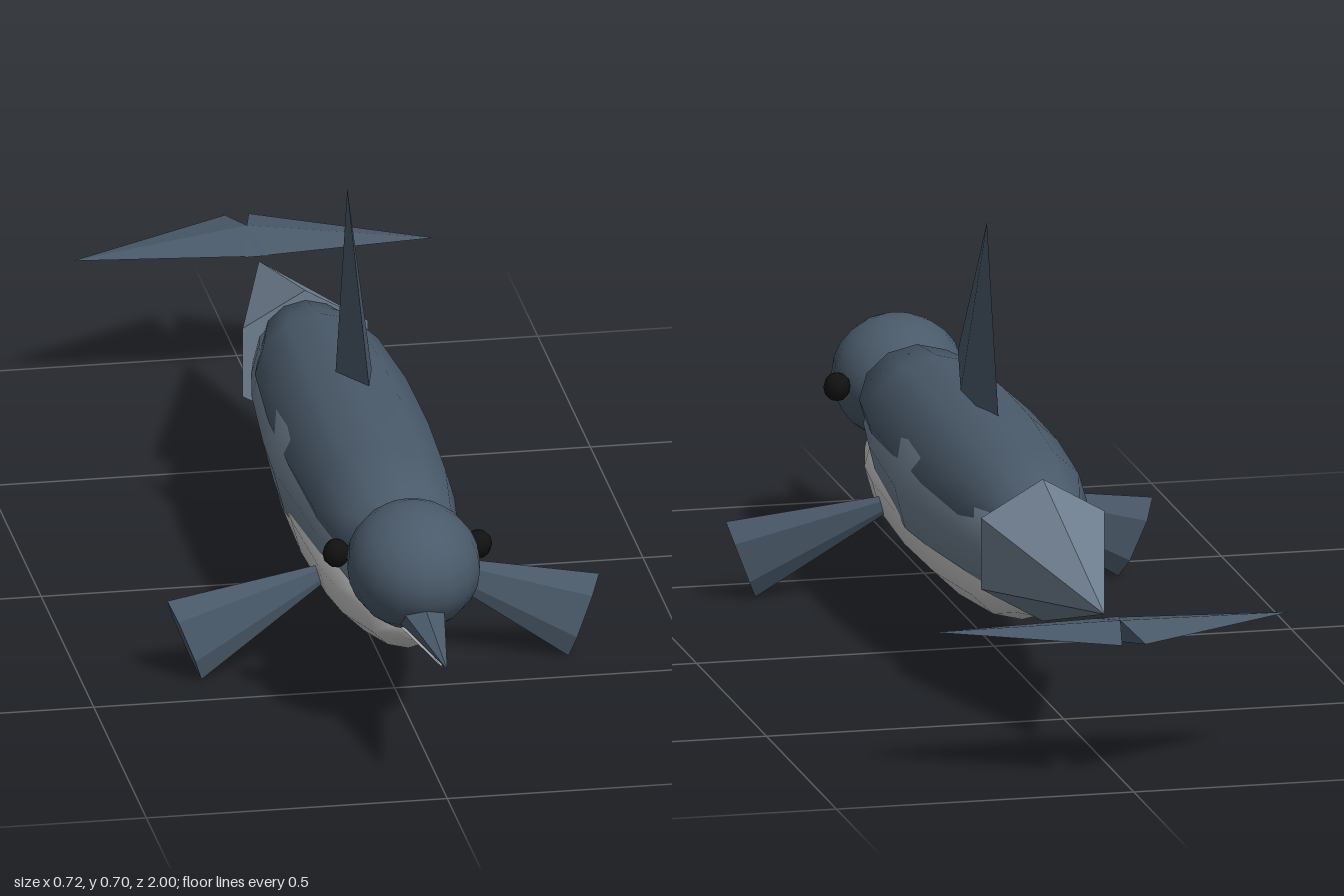
import * as THREE from 'three';

const mat = (color, flatShading = false) => new THREE.MeshStandardMaterial({ color, flatShading });
const DARK = 0x4a5a6a, MID = 0x708090, PALE = 0xf0f0f0, BLACK = 0x111111;

export function createModel() {
  const model = new THREE.Group();

  const add = (name, geometry, material) => {
    const mesh = new THREE.Mesh(geometry, material);
    mesh.name = name;
    model.add(mesh);
    return mesh;
  };

  // Smooth rounded hull along z: profile of [z, relative radius], elliptical section
  const hull = (name, color, y, rx, ry, profile) => {
    const g = new THREE.LatheGeometry(profile.map(([z, r]) => new THREE.Vector2(r, z)), 12);
    g.rotateX(Math.PI / 2).scale(rx, ry, 1).translate(0, y, 0);
    return add(name, g, mat(color));
  };

  // Faceted flattened cone from a base centre to a tip; thinAxis is its flat direction
  const spike = (name, color, base, tip, sides, thin, wide, thinAxis) => {
    const a = new THREE.Vector3(...base), b = new THREE.Vector3(...tip);
    const dir = b.clone().sub(a), height = dir.length();
    dir.normalize();
    const x = new THREE.Vector3(...thinAxis);
    x.addScaledVector(dir, -x.dot(dir)).normalize();
    const z = new THREE.Vector3().crossVectors(x, dir);
    const g = new THREE.ConeGeometry(1, height, sides);
    g.scale(thin, 1, wide);
    g.applyMatrix4(new THREE.Matrix4().makeBasis(x, dir, z));
    g.translate(...a.add(b).multiplyScalar(0.5).toArray());
    return add(name, g, mat(color, true));
  };

  const ball = (name, color, r, pos, segs) => {
    const mesh = add(name, new THREE.SphereGeometry(1, ...segs), mat(color));
    mesh.scale.set(...r);
    mesh.position.set(...pos);
  };

  // Body: flanks, dark back and pale belly overlap
  hull('body', MID, 0.25, 0.137, 0.144,
    [[-0.42, 0], [-0.36, 0.62], [-0.3, 0.72], [-0.2, 0.84], [0, 0.96], [0.13, 1], [0.4, 0.85], [0.55, 0.66], [0.62, 0]]);
  hull('back', DARK, 0.29, 0.125, 0.113,
    [[-0.41, 0], [-0.36, 0.55], [-0.27, 0.74], [-0.2, 0.88], [0, 0.99], [0.2, 1], [0.4, 0.94], [0.55, 0.78], [0.62, 0]]);
  hull('belly', PALE, 0.19, 0.121, 0.115,
    [[-0.39, 0], [-0.36, 0.28], [-0.3, 0.54], [-0.2, 0.8], [0, 0.96], [0.2, 0.99], [0.4, 0.92], [0.5, 0.83], [0.63, 0.57], [0.69, 0.25], [0.7, 0]]);

  // Head and beak
  ball('head', DARK, [0.11, 0.104, 0.13], [0, 0.292, 0.68], [16, 12]);
  spike('upperBeak', DARK, [0, 0.235, 0.74], [0, 0.23, 1], 6, 0.046, 0.028, [1, 0, 0]);
  spike('lowerBeak', PALE, [0, 0.205, 0.72], [0, 0.215, 0.95], 8, 0.035, 0.016, [1, 0, 0]);

  // Tail stock and dorsal fin
  spike('tail', MID, [0, 0.252, -0.35], [0, 0.252, -0.79], 6, 0.12, 0.12, [1, 0, 0]);
  spike('dorsalFin', DARK, [0, 0.41, 0.11], [0, 0.707, 0.05], 4, 0.03, 0.15, [1, 0, 0]);

  // Paired parts
  for (const [side, s] of [['left', 1], ['right', -1]]) {
    ball(side + 'Eye', BLACK, [0.023, 0.024, 0.024], [s * 0.118, 0.296, 0.62], [8, 6]);
    spike(side + 'Flipper', DARK, [s * 0.332, 0.071, 0.4], [s * 0.034, 0.184, 0.355], 6, 0.02, 0.073, [0, 0.13, 1]);
    spike(side + 'Fluke', DARK, [0, 0.252, -0.905], [s * 0.3, 0.252, -0.843], 4, 0.018, 0.098, [0, 1, 0]);
  }
  return model;
}
